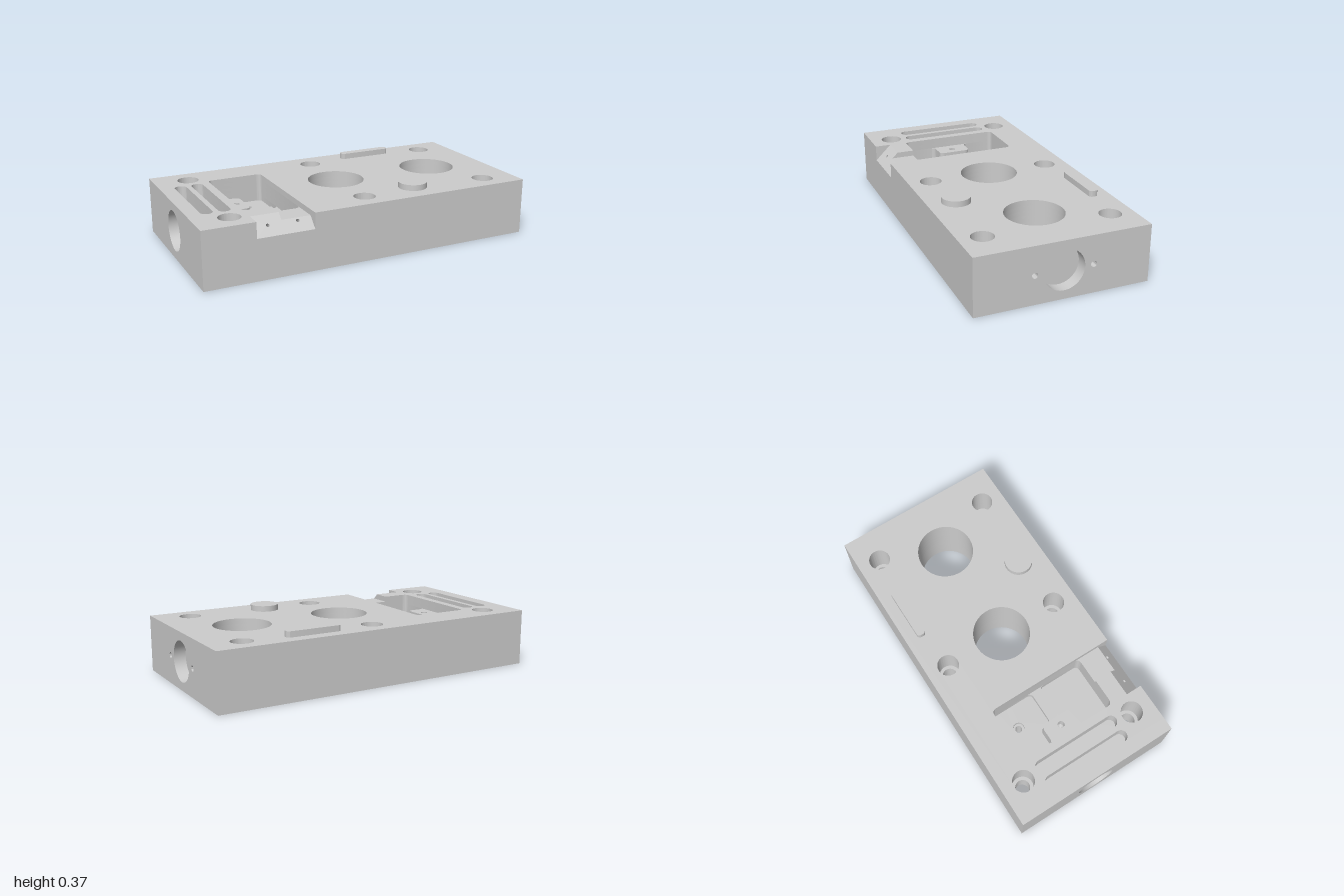
import * as THREE from 'three';
import { toCreasedNormals } from 'three/addons/utils/BufferGeometryUtils.js';

const H = 1 / 3;          // block height
const CAP = 0.07;         // depth of the recesses in the two ends
const CORE = 1 - CAP;     // half length between the end plates
const PX0 = -0.70, PX1 = -0.367, SHELF_X = -0.537; // pocket and shelf limits
const SLOPE_Y = 0.24, SHELF_Y = 0.30, SLOPE_Z = 0.404;

const material = new THREE.MeshStandardMaterial({ color: 0xcccccc });
const holeMaterial = new THREE.MeshStandardMaterial({ color: 0xcccccc, side: THREE.BackSide });
const thinMaterial = new THREE.MeshStandardMaterial({ color: 0xcccccc, side: THREE.DoubleSide });

// Polygon from [x, z, cornerRadius] points
function outline(points, Type = THREE.Shape) {
  const path = new Type();
  const n = points.length;
  points.forEach(([x, z, r = 0], i) => {
    const p = new THREE.Vector2(x, -z);
    const toward = ([qx, qz]) =>
      new THREE.Vector2(qx, -qz).sub(p).normalize().multiplyScalar(r).add(p);
    const a = toward(points[(i + n - 1) % n]);
    const b = toward(points[(i + 1) % n]);
    if (i === 0) path.moveTo(a.x, a.y);
    else path.lineTo(a.x, a.y);
    if (r > 0) path.quadraticCurveTo(p.x, p.y, b.x, b.y);
  });
  path.closePath();
  return path;
}

const hole = (points) => outline(points, THREE.Path);
const circle = (x, z, r) => new THREE.Path().absarc(x, -z, r, 0, Math.PI * 2, true);

function slot(x, halfLength, r) {
  const p = new THREE.Path();
  p.absarc(x, halfLength - r, r, 0, Math.PI, false);
  p.absarc(x, -halfLength + r, r, Math.PI, Math.PI * 2, false);
  p.closePath();
  return p;
}

function extrude(shape, depth) {
  const g = new THREE.ExtrudeGeometry(shape, { depth, bevelEnabled: false, curveSegments: 32 });
  return toCreasedNormals(g, 0.6);
}

export function createModel() {
  const model = new THREE.Group();
  const add = (name, geometry, mat = material) => {
    const mesh = new THREE.Mesh(geometry, mat);
    mesh.name = name;
    model.add(mesh);
    return mesh;
  };

  // Horizontal slice of the block; the outline must run counter-clockwise
  // so that the walls of its openings face inwards
  const layer = (name, y0, y1, points, holes) => {
    const shape = outline(points);
    shape.holes.push(...holes);
    add(name, extrude(shape, y1 - y0).rotateX(-Math.PI / 2).translate(0, y0, 0));
  };

  const boltHoles = (r) =>
    [-0.8, 0, 0.8].flatMap((x) => [-0.367, 0.367].map((z) => circle(x, z, r)));
  const bores = () => [circle(0, 0, 0.167), circle(0.633, 0, 0.167)];
  const slots = () => [slot(-0.883, 0.27, 0.035), slot(-0.783, 0.27, 0.035)];
  const upper = () => [...bores(), ...boltHoles(0.063)];

  const r = 0.03;
  const plain = [[-CORE, 0.5], [CORE, 0.5], [CORE, -0.5], [-CORE, -0.5]];
  const notched = [
    [-CORE, 0.5], [PX0, 0.5], [PX0, SLOPE_Z], [PX1, SLOPE_Z], [PX1, 0.5],
    [CORE, 0.5], [CORE, -0.5], [-CORE, -0.5],
  ];
  const open = [
    [-CORE, 0.5], [PX0, 0.5], [PX0, SLOPE_Z], [SHELF_X, SLOPE_Z], [SHELF_X, 0.3], [PX0, 0.3, r],
    [PX0, -0.3, r], [PX1, -0.3, r], [PX1, 0.5], [CORE, 0.5], [CORE, -0.5], [-CORE, -0.5],
  ];
  // One half of the divided pocket, s picks the side
  const halfPocket = (s) => hole([
    [PX0, 0.3 * s, r], [PX1, 0.3 * s, r], [PX1, 0.03 * s, r],
    [-0.58, 0.03 * s, r], [-0.58, 0.1 * s, r], [PX0, 0.1 * s, r],
  ]);
  const pocketAroundPad = () => hole([
    [PX0, -0.3, r], [PX1, -0.3, r], [PX1, 0.3, r], [PX0, 0.3, r],
    [PX0, 0.1, r], [-0.58, 0.1, r], [-0.58, -0.1, r], [PX0, -0.1, r],
  ]);
  const fullPocket = () => hole([[PX0, -0.3, r], [PX1, -0.3, r], [PX1, 0.3, r], [PX0, 0.3, r]]);
  const padHole = () => circle(-0.633, 0, 0.02);

  layer('blockBase', 0, 0.14, plain, [...bores(), ...boltHoles(0.043), circle(-0.5, -0.2, 0.02)]);
  layer('pocketFloor', 0.14, 0.167, plain, [...upper(), circle(-0.5, -0.2, 0.033)]);
  layer('dividerLayer', 0.167, 0.2, plain, [...upper(), halfPocket(-1), halfPocket(1), padHole()]);
  layer('padLayer', 0.2, SLOPE_Y, plain, [...upper(), pocketAroundPad(), padHole()]);
  layer('padTopLayer', SLOPE_Y, 0.27, notched, [...upper(), ...slots(), pocketAroundPad(), padHole()]);
  layer('shelfLayer', 0.27, SHELF_Y, notched, [...upper(), ...slots(), fullPocket()]);
  layer('blockTop', SHELF_Y, H, open, [...upper(), ...slots()]);

  // Conical bottom of the hole in the pad
  add('padHoleTip', new THREE.ConeGeometry(0.02, 0.033, 32, 1, true)
    .rotateX(Math.PI).translate(-0.633, 0.1835, 0), holeMaterial);

  // End plates with round recess, the +x one with two pin holes
  for (const side of [-1, 1]) {
    const shape = outline([[-0.5, 0], [0.5, 0], [0.5, -H], [-0.5, -H]]);
    shape.holes.push(circle(0, -H / 2, 0.117));
    if (side > 0) for (const z of [-0.167, 0.167]) shape.holes.push(circle(z, -H / 2, 0.017));
    add(side > 0 ? 'leftEndPlate' : 'rightEndPlate',
      extrude(shape, CAP).rotateY(Math.PI / 2).translate(side > 0 ? CORE : -1, 0, 0));
  }

  // Sloped front face with two small blind holes
  const rise = H - SLOPE_Y, run = 0.5 - SLOPE_Z;
  const full = Math.hypot(rise, run);
  const low = full * (SHELF_Y - SLOPE_Y) / rise;
  const face = outline([
    [PX0, 0], [PX1, 0], [PX1, -low], [SHELF_X, -low], [SHELF_X, -full], [PX0, -full],
  ]);
  const slope = new THREE.Group();
  slope.name = 'slopedFace';
  slope.position.set(0, SLOPE_Y, 0.5);
  slope.rotation.x = -Math.atan2(run, rise);
  model.add(slope);
  const v = full * 0.5;
  for (const x of [-0.62, -0.448]) {
    face.holes.push(circle(x, -v, 0.01));
    slope.add(add('slopeHole', new THREE.CylinderGeometry(0.01, 0.01, 0.04, 20)
      .rotateX(Math.PI / 2).translate(x, v, -0.02), holeMaterial));
  }
  slope.add(add('slopeSurface', new THREE.ShapeGeometry(face, 24), thinMaterial));

  // Shelf behind the low part of the slope, and the step beside it
  const shelfZ = 0.5 - run * (SHELF_Y - SLOPE_Y) / rise;
  add('shelf', new THREE.BoxGeometry(PX1 - SHELF_X, 0.005, shelfZ - 0.38)
    .translate((PX1 + SHELF_X) / 2, SHELF_Y - 0.0025, (shelfZ + 0.38) / 2));
  const step = outline([[-SLOPE_Z, -SHELF_Y], [-shelfZ, -SHELF_Y], [-SLOPE_Z, -H]]);
  add('shelfStep', extrude(step, 0.02).rotateY(Math.PI / 2).translate(SHELF_X - 0.02, 0, 0));

  // Raised disc and bar on top
  const lift = 0.034;
  add('raisedDisc', new THREE.CylinderGeometry(0.083, 0.083, lift, 64)
    .translate(0.333, H + lift / 2, 0.333));
  const b = 0.022;
  const bar = outline([[0.233, -0.375, b], [0.565, -0.375, b], [0.565, -0.427, b], [0.233, -0.427, b]]);
  add('raisedBar', extrude(bar, lift).rotateX(-Math.PI / 2).translate(0, H, 0));

  return model;
}
